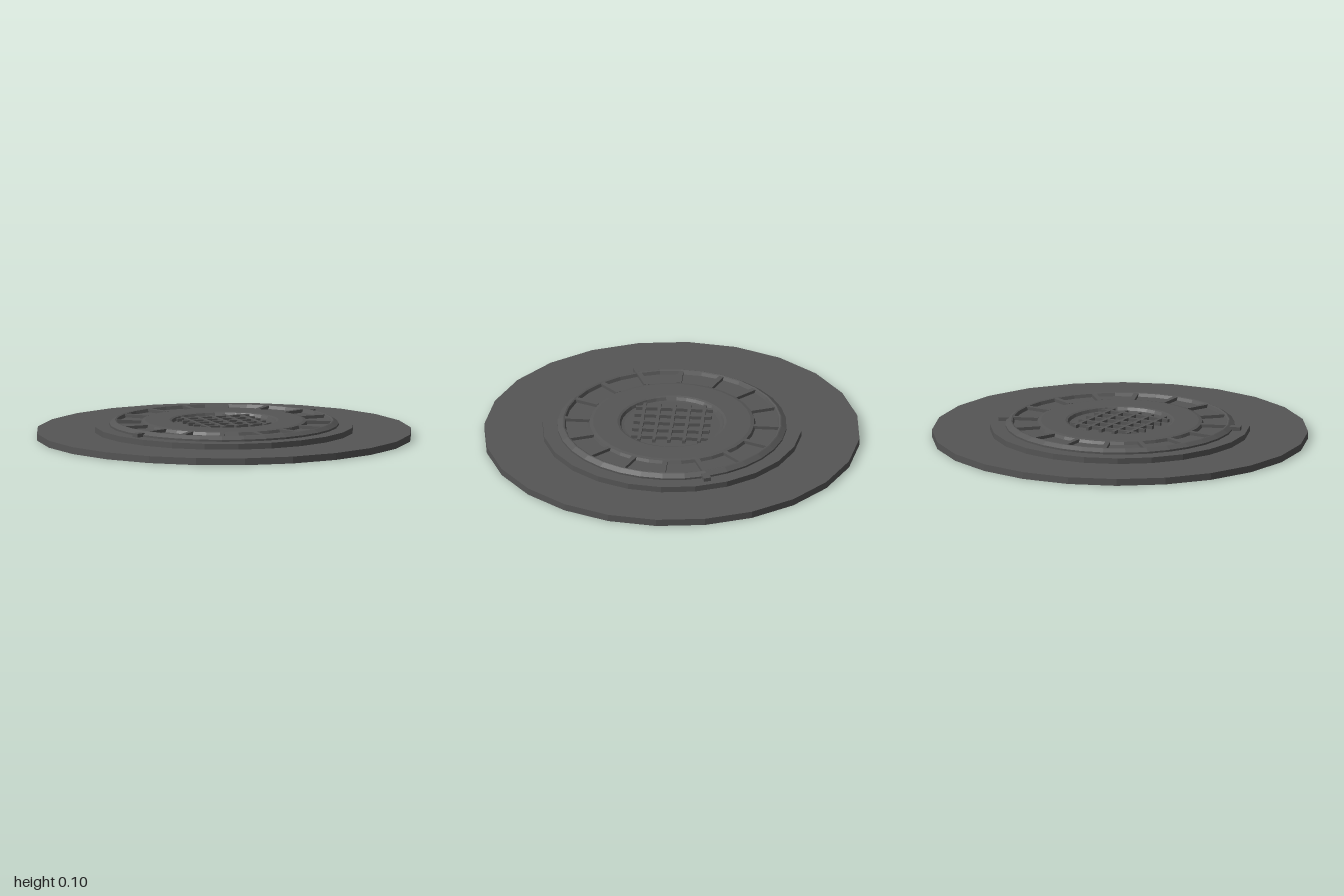
import * as THREE from 'three';

export function createModel() {
  const model = new THREE.Group();
  const iron = new THREE.MeshStandardMaterial({ color: 0x555555, flatShading: true });
  iron.name = 'dark iron';

  const add = (name, geometry, parent = model) => {
    const mesh = new THREE.Mesh(geometry, iron);
    mesh.name = name;
    parent.add(mesh);
    return mesh;
  };
  const disc = (name, radius, y0, y1) =>
    add(name, new THREE.CylinderGeometry(radius, radius, y1 - y0, 24).translate(0, (y0 + y1) / 2, 0));

  // Ground slab and raised collar
  disc('baseSlab', 1, 0, 0.037);
  disc('collar', 0.69, 0.037, 0.068);

  // Turned lid: bevelled rim, outer channel, flat ring, central well
  const profile = [
    [0.61, 0.066], [0.61, 0.078], [0.585, 0.094], [0.58, 0.096], [0.572, 0.093],
    [0.565, 0.076], [0.445, 0.076], [0.438, 0.092], [0.42, 0.096],
    [0.29, 0.096], [0.278, 0.092], [0.27, 0.076], [0.255, 0.074], [0, 0.074],
  ].map(([r, y]) => new THREE.Vector2(r, y));
  add('lid', new THREE.LatheGeometry(profile, 32));

  // Spokes across the outer channel
  const spokes = new THREE.Group();
  spokes.name = 'spokes';
  model.add(spokes);
  for (let i = 0; i < 16; i++) {
    const spoke = new THREE.BoxGeometry(0.14, 0.022, 0.026).translate(0.508, 0.082, 0);
    add('spoke', spoke.rotateY((i * Math.PI) / 8), spokes);
  }

  // Two locking tabs on opposite sides of the rim
  for (const turn of [0, Math.PI]) {
    const tab = new THREE.BoxGeometry(0.08, 0.02, 0.04).translate(0.61, 0.078, 0);
    add('lockingTab', tab.rotateY(turn + 0.38));
  }

  // Crossed bars in the central well
  const grid = new THREE.Group();
  grid.name = 'grid';
  model.add(grid);
  for (let i = -2; i <= 2; i++) {
    const at = i * 0.08;
    add('crossBar', new THREE.BoxGeometry(0.41, 0.022, 0.018).translate(0, 0.081, at), grid);
    add('longBar', new THREE.BoxGeometry(0.018, 0.022, 0.41).translate(at, 0.081, 0), grid);
  }
  return model;
}
